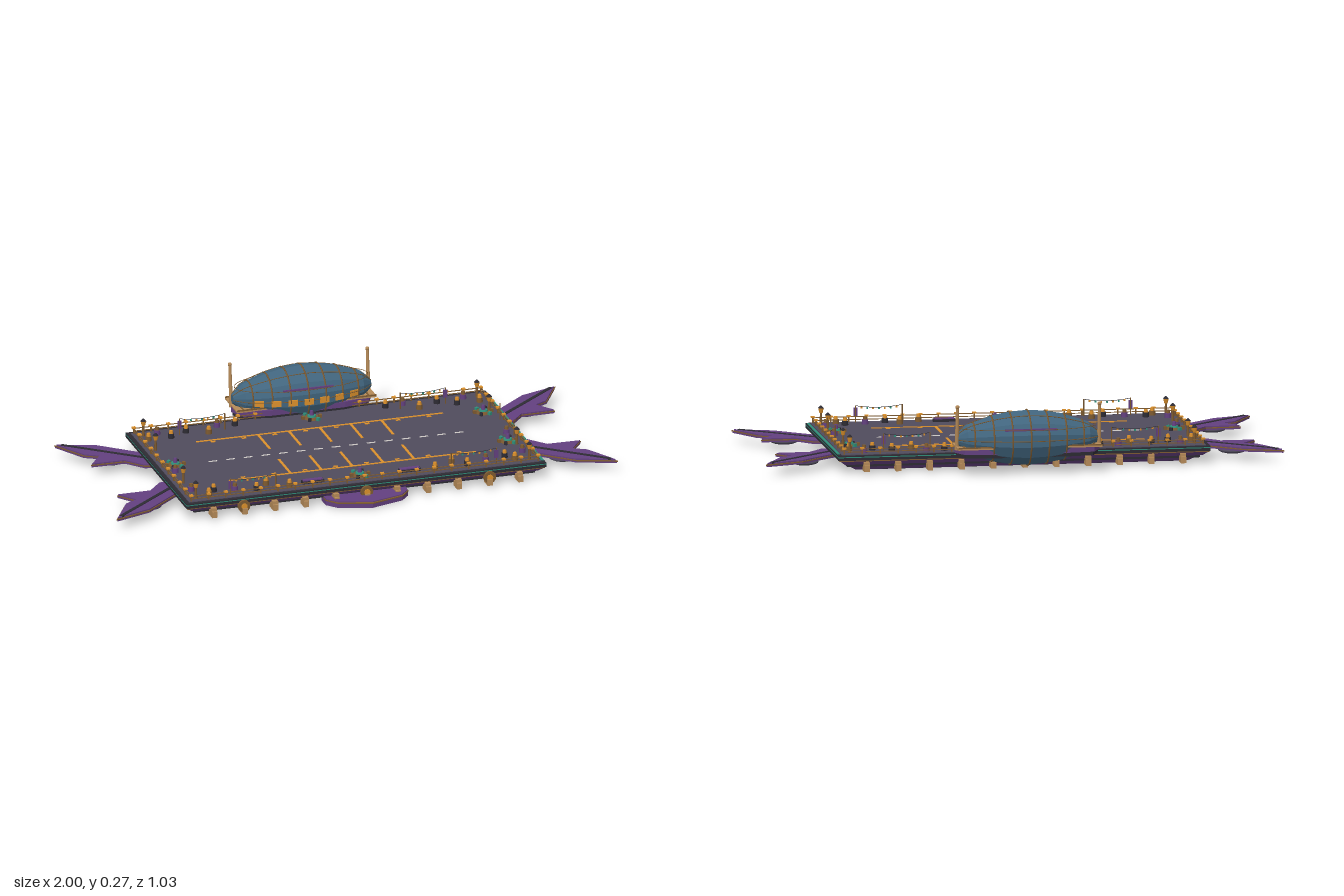
import * as THREE from 'three';

export function createModel() {
  const root = new THREE.Group();
  root.name = 'skyStadium';
  const mat = (name, color) => Object.assign(new THREE.MeshStandardMaterial({ color }), { name });
  const deckGrey = mat('deckGrey', 0x504b5c), purple = mat('purple', 0x63407f), keelGrey = mat('keelGrey', 0x46444d),
    charcoal = mat('charcoal', 0x2d2b33), bronze = mat('bronze', 0x7d5a30), tan = mat('tan', 0xb58a58),
    amber = mat('amber', 0xdb902c), teal = mat('teal', 0x2f8f7a), blue = mat('balloonBlue', 0x41657e), white = mat('white', 0xd8d4d0);
  const CZ = 0.038; // centre line of the deck

  const add = (name, geo, m, x = 0, y = 0, z = 0, parent = root) => {
    const mesh = new THREE.Mesh(geo, m);
    mesh.name = name;
    mesh.position.set(x, y, z);
    parent.add(mesh);
    return mesh;
  };
  const box = (name, w, h, d, m, x, y, z, parent) => add(name, new THREE.BoxGeometry(w, h, d), m, x, y, z, parent);
  const cyl = (name, r1, r2, h, n, m, x, y, z, parent) => add(name, new THREE.CylinderGeometry(r1, r2, h, n), m, x, y, z, parent);
  const flat = g => { const f = g.toNonIndexed(); f.computeVertexNormals(); return f; };

  // Slab whose top and bottom have different half sizes
  const slab = (name, m, y0, y1, bx, bz, tx, tz) => {
    const g = new THREE.BoxGeometry(2, 1, 2), p = g.attributes.position;
    for (let i = 0; i < p.count; i++) {
      const top = p.getY(i) > 0;
      p.setXYZ(i, p.getX(i) * (top ? tx : bx), top ? y1 : y0, p.getZ(i) * (top ? tz : bz));
    }
    g.computeVertexNormals();
    return add(name, g, m, 0, 0, CZ);
  };
  // Flat plate in the ground plane from [x, z] points
  const plate = (name, pts, y, h, m, parent) => {
    const s = new THREE.Shape(pts.map(([x, z]) => new THREE.Vector2(x, -z)));
    const g = new THREE.ExtrudeGeometry(s, { depth: h, bevelEnabled: false });
    return add(name, g.rotateX(-Math.PI / 2), m, 0, y, 0, parent);
  };

  // Layered hull
  slab('keelPlate', keelGrey, 0.004, 0.01, 0.62, 0.295, 0.635, 0.31);
  slab('lowerHull', purple, 0.008, 0.026, 0.64, 0.315, 0.67, 0.34);
  slab('hullGroove', charcoal, 0.026, 0.035, 0.68, 0.36, 0.68, 0.36);
  slab('upperHull', purple, 0.035, 0.05, 0.69, 0.365, 0.708, 0.382);
  slab('bronzeTrim', bronze, 0.05, 0.054, 0.713, 0.384, 0.713, 0.384);
  slab('deckEdge', charcoal, 0.054, 0.0725, 0.717, 0.386, 0.717, 0.386);
  slab('tealBand', teal, 0.065, 0.0685, 0.7173, 0.3863, 0.7173, 0.3863);
  slab('deck', deckGrey, 0.07, 0.075, 0.702, 0.37, 0.702, 0.37);
  const Y = 0.075;
  box('tealGutter', 0.01, 0.004, 0.7, teal, 0.71, 0.073, 0.05);

  // Edge brackets along the front and back
  for (let i = -5; i <= 5; i++) for (const s of [-1, 1]) {
    box('edgeBracket', 0.02, 0.024, 0.05, tan, i * 0.122, 0.024, CZ + s * 0.379);
    box('bracketCap', 0.022, 0.012, 0.016, tan, i * 0.122, 0.042, CZ + s * 0.388);
  }
  // Round bosses on the front
  for (const x of [-0.49, 0, 0.49]) {
    cyl('frontBoss', 0.024, 0.024, 0.014, 16, bronze, x, 0.042, 0.427).rotation.x = Math.PI / 2;
    cyl('bossCentre', 0.012, 0.012, 0.018, 12, amber, x, 0.042, 0.428).rotation.x = Math.PI / 2;
  }

  // Front prow, trimmed with a thin bronze edge
  const prow = k => [[-0.165, 0.38], [-0.165 * k, 0.43], [-0.13 * k, 0.475 * k], [0, 0.514 * k],
    [0.13 * k, 0.475 * k], [0.165 * k, 0.43], [0.165, 0.38]];
  plate('prow', prow(0.99), 0.006, 0.018, purple);
  plate('prowTrim', prow(1), 0.024, 0.004, bronze);
  plate('prowTop', prow(0.985), 0.027, 0.004, purple);

  // Four corner fins with pods beneath
  const finPts = [[0.69, 0.085], [0.73, 0.09], [0.79, 0.16], [0.925, 0.162], [0.872, 0.235], [0.925, 0.265],
    [1, 0.398], [0.85, 0.345], [0.717, 0.23], [0.69, 0.21]];
  for (const sx of [-1, 1]) for (const sz of [-1, 1]) {
    const fin = new THREE.Group();
    fin.name = 'cornerFin';
    root.add(fin);
    const pts = k => finPts.map(([x, d]) => [sx * (0.82 + (x - 0.82) * k), CZ + sz * (0.22 + (d - 0.22) * k)]);
    plate('finTrim', pts(1), 0.046, 0.004, bronze, fin);
    plate('finTop', pts(0.955), 0.05, 0.005, purple, fin);
    plate('finUnderside', pts(0.98), 0.04, 0.006, purple, fin);
    const spine = box('finSpine', 0.34, 0.006, 0.014, charcoal, sx * 0.845, 0.054, CZ + sz * 0.272, fin);
    spine.rotation.y = -sx * sz * Math.atan2(0.215, 0.26);
    const pod = add('finPod', new THREE.SphereGeometry(0.055, 16, 10), deckGrey, sx * 0.825, 0.033, CZ + sz * 0.24, fin);
    pod.scale.set(1, 0.26, 1.05);
  }

  // Field markings
  const mark = (name, x, z, w, d, m = amber) => box(name, w, 0.002, d, m, x, Y + 0.001, z);
  for (const s of [-1, 1]) {
    mark('sideLine', 0, CZ + s * 0.207, 0.985, 0.009);
    for (let i = -2; i <= 2; i++) mark('yardLine', i * 0.123, CZ + s * 0.131, 0.01, 0.15);
    for (let i = -4; i < 4; i++) mark('yardTick', (i + 0.5) * 0.123, CZ + s * 0.19, 0.018, 0.01);
  }
  for (let i = -7; i <= 7; i++) mark('centreDash', i * 0.07, CZ, 0.034, 0.006, white);
  for (const s of [-1, 1]) {
    box('benchTrim', 0.086, 0.01, 0.022, charcoal, s * 0.193, Y + 0.005, 0.355);
    box('purpleBench', 0.078, 0.014, 0.018, purple, s * 0.193, Y + 0.007, 0.355);
  }

  // Railing: two rails, posts and amber studs
  const rx = 0.692, rz = 0.364;
  for (const s of [-1, 1]) {
    for (const y of [0.084, 0.095]) {
      box('longRail', rx * 2, 0.003, 0.003, bronze, 0, y, CZ + s * rz);
      box('shortRail', 0.003, 0.003, rz * 2, bronze, s * rx, y, CZ);
    }
    for (let i = -10; i <= 10; i++) {
      const x = i * rx / 10;
      box('railPost', 0.005, 0.022, 0.005, bronze, x, Y + 0.011, CZ + s * rz);
      box('railStud', 0.014, 0.006, 0.014, amber, x, 0.098, CZ + s * rz);
    }
    for (let i = -5; i <= 5; i++) {
      box('railPost', 0.005, 0.022, 0.005, bronze, s * rx, Y + 0.011, CZ + i * rz / 5);
      box('railStud', 0.014, 0.006, 0.014, amber, s * rx, 0.098, CZ + i * rz / 5);
    }
  }

  // Lanterns at the ends
  for (const sx of [-1, 1]) for (const z of [-0.29, 0.375, -0.135, 0.215]) {
    cyl('lanternPost', 0.004, 0.006, 0.05, 6, bronze, sx * 0.665, Y + 0.025, z);
    cyl('lanternGlass', 0.011, 0.007, 0.018, 6, amber, sx * 0.665, Y + 0.052, z);
    cyl('lanternCap', 0.002, 0.012, 0.01, 6, charcoal, sx * 0.665, Y + 0.066, z);
  }
  // Poles with hanging bunting and purple pennants
  for (const sx of [-1, 1]) for (const z of [-0.26, 0.385]) {
    for (const x of [0.35, 0.53]) cyl('buntingPole', 0.0025, 0.0025, 0.066, 5, bronze, sx * x, Y + 0.033, z);
    box('pennant', 0.016, 0.032, 0.004, purple, sx * 0.53, 0.116, z);
    const c = new THREE.QuadraticBezierCurve3(...[[0.35, 0.14], [0.44, 0.124], [0.53, 0.14]].map(([x, y]) => new THREE.Vector3(sx * x, y, z)));
    add('buntingString', new THREE.TubeGeometry(c, 10, 0.001, 4), charcoal);
    for (let i = 1; i < 8; i++) {
      const p = c.getPoint(i / 8);
      box('buntingLamp', 0.006, 0.007, 0.005, i % 2 ? amber : teal, p.x, p.y - 0.004, p.z);
    }
  }
  for (const z of [-0.045, 0.13]) cyl('sidePole', 0.0025, 0.0025, 0.066, 5, bronze, 0.68, Y + 0.033, z);

  // Gear fountains around the field
  for (const [x, z] of [[0, -0.27], [-0.64, 0.035], [0.64, -0.13], [0.64, 0.18], [0, 0.34]]) {
    cyl('gearBase', 0.026, 0.03, 0.008, 10, bronze, x, Y + 0.004, z);
    cyl('gearBasin', 0.016, 0.02, 0.012, 10, teal, x, Y + 0.008, z);
    cyl('gearSpindle', 0.006, 0.01, 0.022, 8, purple, x, Y + 0.02, z);
    for (let i = 0; i < 6; i++) {
      const a = i * Math.PI / 3;
      box('gearTooth', 0.012, 0.012, 0.012, [bronze, teal, charcoal][i % 3], x + Math.cos(a) * 0.034, Y + 0.006, z + Math.sin(a) * 0.034).rotation.y = -a;
    }
  }
  // Small casks and stands near the corners
  [[0.66, -0.24], [0.61, -0.29], [0.5, -0.275], [0.42, -0.24], [0.37, -0.295], [0.58, 0.33], [0.61, 0.365], [0.5, 0.345],
    [0.42, 0.365], [0.37, 0.325], [0.66, 0.3], [0.57, -0.24], [0.29, 0.37], [0.66, 0.1], [0.3, -0.29]].forEach(([x, z], i) => {
    for (const s of [-1, 1]) {
      cyl('cask', 0.012, 0.013, 0.018, 8, [bronze, purple, charcoal][i % 3], s * x, Y + 0.009, z);
      cyl('caskTop', 0.007, 0.009, 0.012, 6, [amber, bronze, amber][i % 3], s * x, Y + 0.024, z);
    }
  });

  // Airship moored at the back
  const ship = new THREE.Group();
  ship.name = 'airship';
  ship.position.set(0, 0.136, -0.405);
  root.add(ship);
  const half = [[0.018, 0.275], [0.055, 0.235], [0.089, 0.135], [0.101, 0.07], [0.106, 0]];
  const prof = [[0, 0.275], ...half, ...half.slice(0, -1).reverse().map(([r, x]) => [r, -x]), [0, -0.275]].reverse();
  const radius = x => {
    x = Math.abs(x);
    const i = half.findIndex(p => p[1] <= x), a = half[Math.max(i - 1, 0)], b = half[i];
    return i < 1 ? a[0] : b[0] + (a[0] - b[0]) * (x - b[1]) / (a[1] - b[1]);
  };
  const skin = new THREE.LatheGeometry(prof.map(p => new THREE.Vector2(...p)), 14, Math.PI / 2);
  add('balloon', flat(skin.rotateZ(Math.PI / 2)), blue, 0, 0, 0, ship);
  for (const x of [-0.21, -0.14, -0.07, 0, 0.07, 0.14, 0.21])
    add('balloonHoop', new THREE.TorusGeometry(radius(x), 0.0032, 5, 28).rotateY(Math.PI / 2), bronze, x, 0, 0, ship);
  for (let i = 0; i < 4; i++) {
    const a = i * Math.PI / 3;
    const path = new THREE.CatmullRomCurve3(prof.slice(1, -1).map(([r, x]) => new THREE.Vector3(x, r * Math.sin(a), r * Math.cos(a))));
    add('balloonRib', new THREE.TubeGeometry(path, 24, 0.0016, 4), bronze, 0, 0, 0, ship);
  }
  // Cable ring, purple side stripes and front cabin windows
  const loop = new THREE.CatmullRomCurve3(new THREE.EllipseCurve(0, 0, 0.265, 0.108).getPoints(32).slice(0, -1)
    .map(p => new THREE.Vector3(p.x, 0.044, p.y)), true);
  add('cableRing', new THREE.TubeGeometry(loop, 48, 0.0012, 4, true), bronze, 0, 0, 0, ship);
  for (const s of [-1, 1]) box('sideStripe', 0.2, 0.008, 0.006, purple, 0, 0.044, s * 0.094, ship);
  for (let i = -3; i <= 3; i++) {
    const x = i * 0.063, slope = (radius(x + 0.015) - radius(x - 0.015)) / 0.03;
    box('cabinWindow', 0.036, 0.024, 0.006, amber, x, -0.005, radius(x) - 0.001, ship).rotation.y = -Math.atan(slope);
  }

  // Gondola, tan gallery and mooring masts
  const gondola = [[-0.28, -0.4], [-0.25, -0.465], [-0.15, -0.478], [0.15, -0.478], [0.25, -0.465], [0.28, -0.4], [0.25, -0.34], [0.15, -0.318], [-0.15, -0.318], [-0.25, -0.34]];
  plate('gondolaKeel', gondola.map(([x, z]) => [x * 0.98, -0.4 + (z + 0.4) * 0.98]), 0.07, 0.014, charcoal);
  plate('gondola', gondola, 0.084, 0.022, purple);
  box('galleryFloor', 0.556, 0.006, 0.155, tan, 0, 0.108, -0.408);
  for (const s of [-1, 1]) {
    box('galleryRail', 0.556, 0.005, 0.005, bronze, 0, 0.113, -0.408 + s * 0.075);
    for (const x of [0.21, 0.25]) box('galleryBeam', 0.005, 0.004, 0.15, bronze, s * x, 0.112, -0.408);
    const mast = cyl('mooringMast', 0.006, 0.008, 0.17, 8, tan, s * 0.274, 0.182, -0.428);
    mast.rotation.x = -0.1;
    add('mastTip', new THREE.SphereGeometry(0.008, 8, 6), tan, 0, 0.083, 0, mast);
  }
  box('boardingBridge', 0.3, 0.012, 0.05, charcoal, 0, 0.066, -0.355);
  return root;
}
